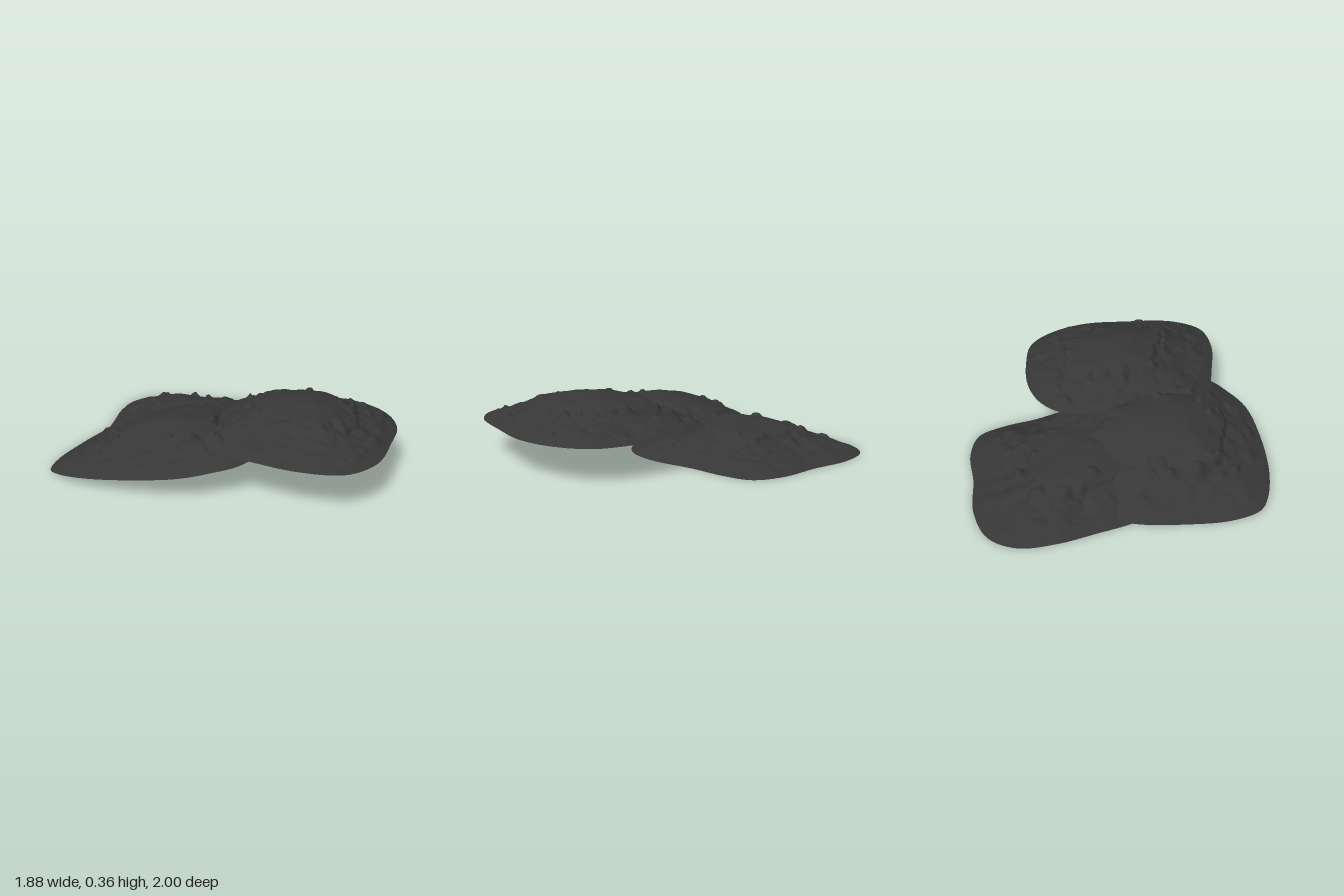
import * as THREE from 'three';

const SEGMENTS = 176, RINGS = 64;

// Small seeded generator
function seeded(seed) {
  let s = seed;
  return () => (s = (s * 16807) % 2147483647) / 2147483647;
}

// Smooth value noise over the ground plane, from -1 to 1
function hash(i, j) {
  const s = Math.sin(i * 127.1 + j * 311.7) * 43758.5453;
  return (s - Math.floor(s)) * 2 - 1;
}
function noise(x, z) {
  const i = Math.floor(x), j = Math.floor(z);
  const u = THREE.MathUtils.smoothstep(x - i, 0, 1), v = THREE.MathUtils.smoothstep(z - j, 0, 1);
  const a = THREE.MathUtils.lerp(hash(i, j), hash(i + 1, j), u);
  const b = THREE.MathUtils.lerp(hash(i, j + 1), hash(i + 1, j + 1), u);
  return THREE.MathUtils.lerp(a, b, v);
}

// Height of the slab by distance from its middle (0) to its rim (1)
const PROFILE = [[0, 0.162], [0.2, 0.152], [0.4, 0.126], [0.55, 0.094], [0.75, 0.051], [0.87, 0.029], [1, 0]];
function profileHeight(r) {
  for (let k = 1; k < PROFILE.length; k++) {
    const [r0, h0] = PROFILE[k - 1], [r1, h1] = PROFILE[k];
    if (r <= r1) return THREE.MathUtils.mapLinear(r, r0, r1, h0, h1);
  }
  return 0;
}

// One weathered slab: an open shell raised over its outline on a tilted base plane
function makeSlab(name, outline, center, plane, seed, material) {
  const random = seeded(seed);
  const curve = new THREE.CatmullRomCurve3(outline.map(([x, z]) => new THREE.Vector3(x, 0, z)), true);
  const rim = curve.getSpacedPoints(SEGMENTS);
  const [cx, cz] = center;

  // Small knobs scattered around the plateau and the slope
  const knobs = Array.from({ length: 40 }, () => {
    const p = rim[Math.floor(random() * SEGMENTS)], r = 0.4 + random() * 0.5;
    return {
      x: cx + (p.x - cx) * r, z: cz + (p.z - cz) * r,
      size: 0.012 + random() * 0.018, height: 0.008 + random() * 0.014
    };
  });

  const heightAt = (x, z, r) => {
    const edge = THREE.MathUtils.smoothstep(1 - r, 0, 0.13);
    const slope = THREE.MathUtils.smoothstep(r, 0.3, 0.6);
    // ragged ledge around the plateau, with a thin crack beside it
    const ledge = 0.55 + 0.13 * noise(x * 5 + seed, z * 5) + 0.05 * noise(x * 22, z * 22 + seed);
    const step = 0.011 * (1 - THREE.MathUtils.smoothstep(r, ledge - 0.012, ledge + 0.012));
    const crack = -0.01 * Math.exp(-(((r - ledge - 0.02) / 0.012) ** 2));
    const rough = 0.008 * noise(x * 7 + seed, z * 7) + (0.002 + 0.007 * slope) * noise(x * 15, z * 15 + seed)
      + 0.004 * slope * noise(x * 34 + seed, z * 34);
    let h = profileHeight(r) + edge * (step + crack + rough);
    for (const k of knobs) {
      const d = ((x - k.x) ** 2 + (z - k.z) ** 2) / (k.size * k.size);
      if (d < 5) h += edge * k.height * Math.exp(-d * d);
    }
    return Math.max(h, 0);
  };

  const positions = [], indices = [];
  const addPoint = (x, z, r) =>
    positions.push(x, plane[0] + plane[1] * x + plane[2] * z + heightAt(x, z, r), z);
  addPoint(cx, cz, 0);
  for (let i = 1; i <= RINGS; i++) {
    const r = i / RINGS;
    for (let j = 0; j < SEGMENTS; j++) addPoint(cx + (rim[j].x - cx) * r, cz + (rim[j].z - cz) * r, r);
  }
  for (let j = 0; j < SEGMENTS; j++) {
    const n = (j + 1) % SEGMENTS;
    indices.push(0, 1 + n, 1 + j);
    for (let i = 0; i < RINGS - 1; i++) {
      const a = 1 + i * SEGMENTS, b = a + SEGMENTS;
      indices.push(a + j, a + n, b + j, a + n, b + n, b + j);
    }
  }
  const geometry = new THREE.BufferGeometry();
  geometry.setAttribute('position', new THREE.Float32BufferAttribute(positions, 3));
  geometry.setIndex(indices);
  geometry.computeVertexNormals();
  const mesh = new THREE.Mesh(geometry, material);
  mesh.name = name;
  return mesh;
}

export function createModel() {
  const group = new THREE.Group();
  group.name = 'stackedStoneSlabs';
  const stone = new THREE.MeshStandardMaterial({ color: 0x373737, side: THREE.DoubleSide });

  // Back slab, flat on the ground
  group.add(makeSlab('backSlab', [
    [0.515, -0.61], [0.5, -0.45], [0.44, -0.27], [0.38, -0.02], [0.28, 0.14], [0.12, 0.22], [-0.1, 0.23],
    [-0.35, 0.16], [-0.52, 0.02], [-0.6, -0.2], [-0.59, -0.36], [-0.53, -0.55], [-0.46, -0.75],
    [-0.36, -0.92], [-0.21, -1], [0, -0.96], [0.2, -0.84], [0.4, -0.74]
  ], [-0.1, -0.27], [0, 0, 0], 11, stone));

  // Middle slab, leaning on the back one
  group.add(makeSlab('middleSlab', [
    [0.31, 0], [0.25, 0.3], [0.1, 0.55], [-0.06, 0.68], [-0.2, 0.7], [-0.36, 0.69], [-0.6, 0.57],
    [-0.8, 0.42], [-0.91, 0.29], [-0.945, 0.2], [-0.9, 0.04], [-0.78, -0.15], [-0.59, -0.38],
    [-0.38, -0.52], [-0.1, -0.58], [0.13, -0.51], [0.25, -0.3]
  ], [-0.27, 0.14], [0.096, 0.105, 0.07], 29, stone));

  // Front slab, level on top
  group.add(makeSlab('frontSlab', [
    [0.94, 0.22], [0.89, 0.45], [0.75, 0.67], [0.55, 0.92], [0.36, 1], [0.17, 0.92], [-0.02, 0.74],
    [-0.18, 0.55], [-0.23, 0.4], [-0.14, 0.2], [0, 0], [0.12, -0.16], [0.22, -0.25], [0.36, -0.28],
    [0.54, -0.24], [0.74, -0.12], [0.9, 0.03]
  ], [0.4, 0.28], [0.182, 0, 0], 47, stone));

  return group;
}
